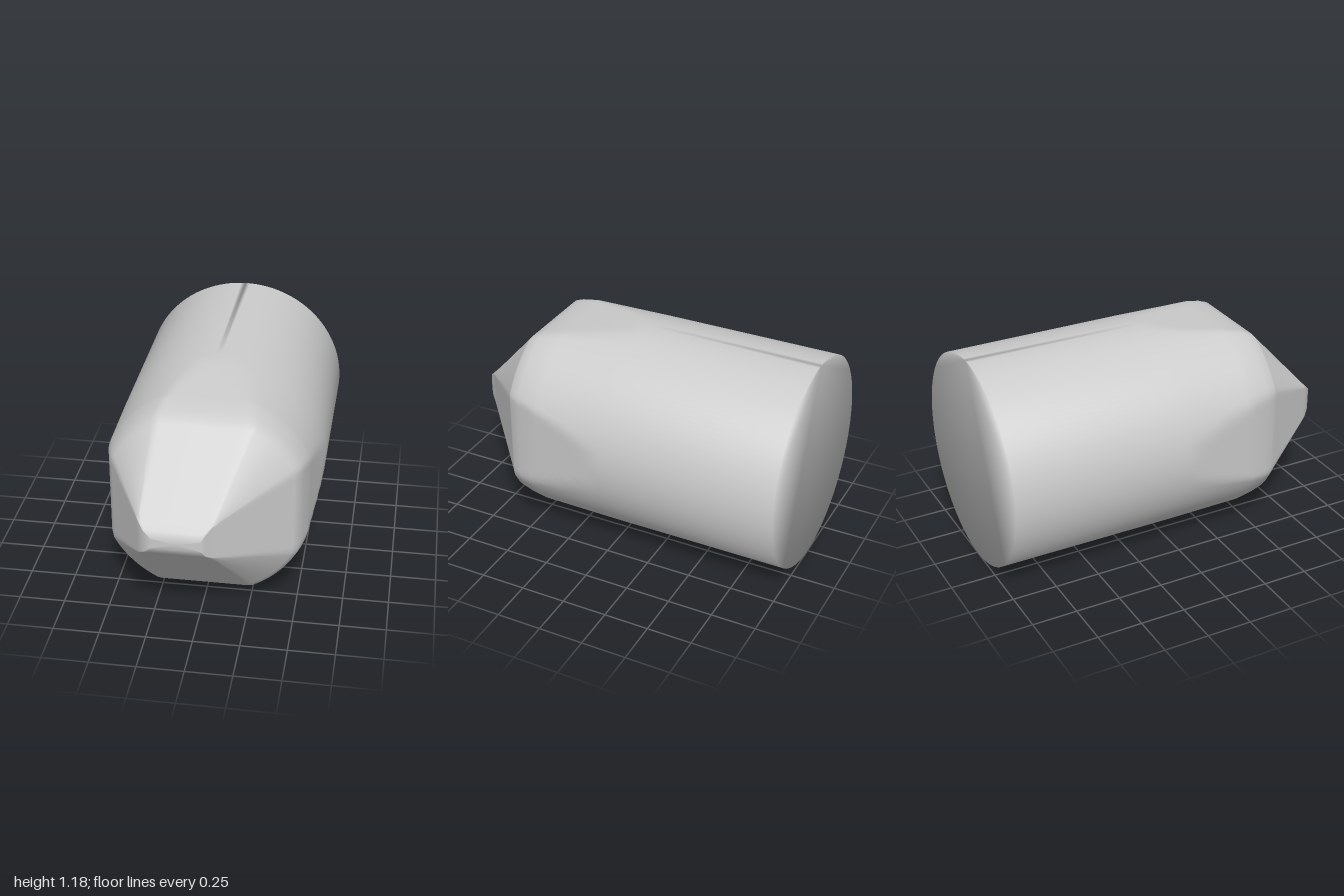
import * as THREE from 'three';
import { mergeVertices } from 'three/addons/utils/BufferGeometryUtils.js';

const SIDES = 144;
const RADIUS = 0.592;
const CORNER = 0.25; // half width of the flats at the shoulder
const { lerp, clamp } = THREE.MathUtils;

// Round section trimmed by four flats at distances flatX and flatY
function bodyRing(z, r = RADIUS, flatX = RADIUS, flatY = RADIUS) {
  const ring = [];
  for (let j = 0; j < SIDES; j++) {
    const a = (j / SIDES) * Math.PI * 2;
    const c = Math.cos(a), s = Math.sin(a);
    const d = Math.min(r, flatX / Math.max(Math.abs(c), 1e-6), flatY / Math.max(Math.abs(s), 1e-6));
    ring.push([c * d, RADIUS + s * d, z]);
  }
  return ring;
}

// Small rectangle at the nose; each shoulder arc collapses to one of its corners
function tipRing(z, x0, x1, y0, y1, shoulder) {
  return shoulder.map(([x, y]) => [
    lerp(x0, x1, (clamp(x / CORNER, -1, 1) + 1) / 2),
    lerp(y0, y1, (clamp((y - RADIUS) / CORNER, -1, 1) + 1) / 2),
    z,
  ]);
}

const blend = (a, b, t) => a.map((p, j) => p.map((v, k) => lerp(v, b[j][k], t)));

function shellGeometry() {
  // Straight barrel, then flats that widen toward the shoulder
  const rings = [bodyRing(-1), bodyRing(0)];
  for (const z of [0.1, 0.2, 0.3, 0.4, 0.45]) {
    rings.push(bodyRing(z, RADIUS - 0.01 * z, RADIUS - 0.12 * z, RADIUS - 0.115 * z));
  }
  rings.push(bodyRing(0.53, 0.575, 0.519, 0.523));
  const shoulder = bodyRing(0.585, 0.56, 0.5, 0.5);
  rings.push(shoulder);

  // Sloping nose facets and softened off-centre tip
  const nose = tipRing(0.95, -0.28, 0.1, 0.5, 0.69, shoulder);
  for (const t of [0.06, 0.5, 0.92]) rings.push(blend(shoulder, nose, t));
  rings.push(nose);
  rings.push(tipRing(0.985, -0.25, 0.07, 0.53, 0.66, shoulder));
  rings.push(tipRing(1, -0.21, 0.05, 0.565, 0.625, shoulder));

  const positions = rings.flat(2);
  const index = [];
  for (let i = 0; i < rings.length - 1; i++) {
    for (let j = 0; j < SIDES; j++) {
      const k = (j + 1) % SIDES;
      const a = i * SIDES + j, b = i * SIDES + k;
      index.push(a, b, b + SIDES, a, b + SIDES, a + SIDES);
    }
  }

  // Front tip cap
  const last = (rings.length - 1) * SIDES;
  const centre = positions.length / 3;
  positions.push(-0.08, 0.595, 1);
  for (let j = 0; j < SIDES; j++) index.push(centre, last + j, last + ((j + 1) % SIDES));

  // Flat rear cap, fanned from the top of the rim and sharing its smooth normals
  const top = SIDES / 4;
  for (let n = 1; n < SIDES - 1; n++) {
    index.push(top, (top + n + 1) % SIDES, (top + n) % SIDES);
  }

  let geometry = new THREE.BufferGeometry();
  geometry.setAttribute('position', new THREE.Float32BufferAttribute(positions, 3));
  geometry.setIndex(index);
  geometry = mergeVertices(geometry, 1e-4);
  geometry.computeVertexNormals();
  return geometry;
}

export function createModel() {
  const group = new THREE.Group();
  group.name = 'facetedCapsule';
  const body = new THREE.Mesh(shellGeometry(), new THREE.MeshStandardMaterial({ color: 0xcccccc }));
  body.name = 'barrelWithFacetedNose';
  group.add(body);
  return group;
}
